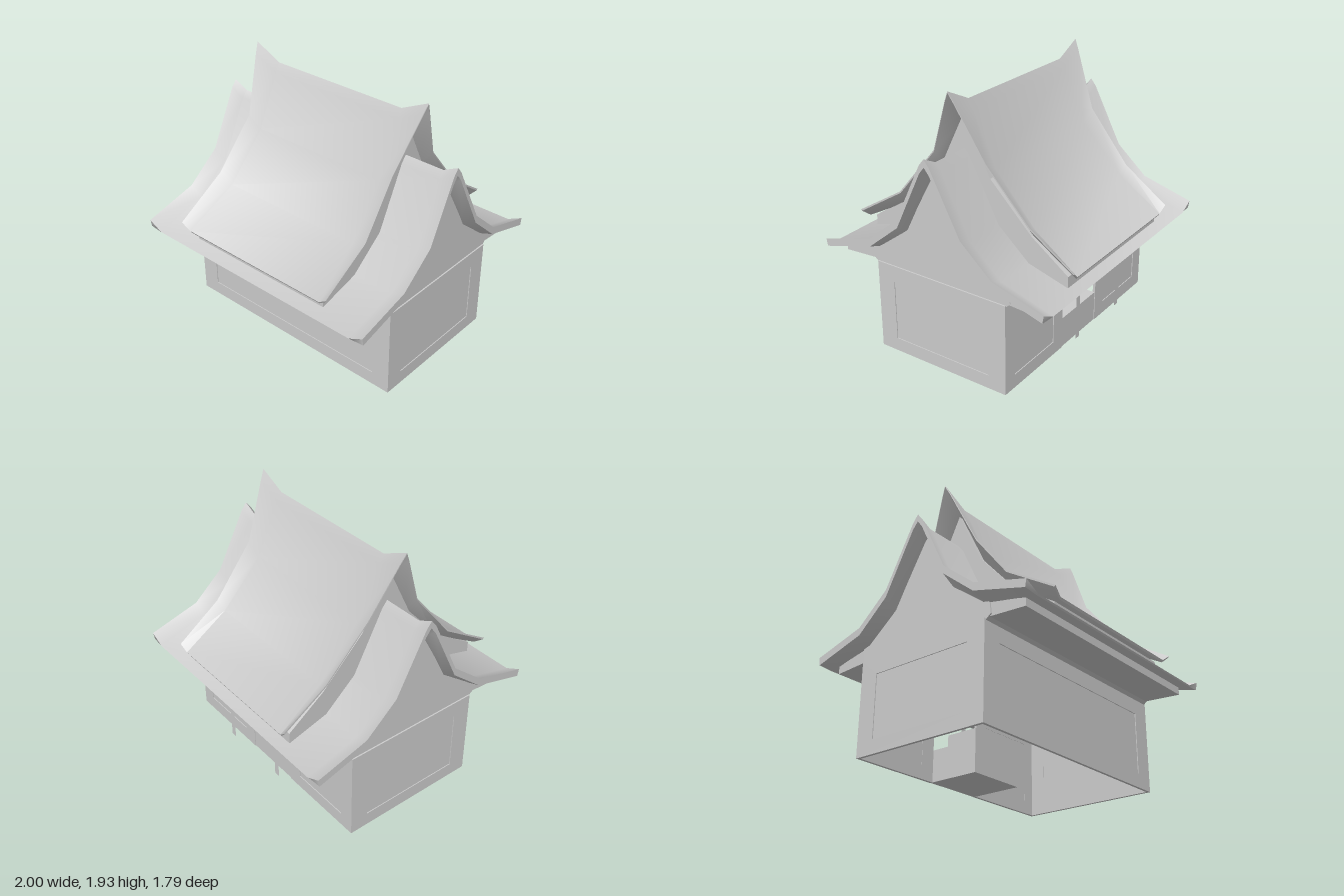
import * as THREE from 'three';
import { toCreasedNormals } from 'three/addons/utils/BufferGeometryUtils.js';

const mat = new THREE.MeshStandardMaterial({ color: 0xcccccc, side: THREE.DoubleSide });

function add(parent, geo, name, x = 0, y = 0, z = 0) {
  const m = new THREE.Mesh(geo, mat);
  m.name = name;
  m.position.set(x, y, z);
  parent.add(m);
  return m;
}

// Roof shell lofted along x. Each section has a top line of [x, y, z] from front
// eave to back eave, and the depth of the shell below each point.
function roofShell(sections) {
  const n = sections[0].top.length;
  const loops = sections.map(({ top, drop }) =>
    [...top, ...top.map(([x, y, z], j) => [x, y - drop[j], z * 0.99]).reverse()]);
  const pos = [];
  const quad = (a, b, c, d) => pos.push(...a, ...b, ...c, ...a, ...c, ...d);
  for (let i = 0; i < loops.length - 1; i++) {
    const p = loops[i], q = loops[i + 1];
    for (let j = 0; j < 2 * n; j++) {
      const k = (j + 1) % (2 * n);
      quad(p[j], q[j], q[k], p[k]);
    }
  }
  // end caps
  const first = loops[0], last = loops[loops.length - 1];
  for (let j = 0; j < n - 1; j++) {
    const a = 2 * n - 1 - j, b = a - 1;
    quad(last[j], last[a], last[b], last[j + 1]);
    quad(first[j], first[j + 1], first[b], first[a]);
  }
  const g = new THREE.BufferGeometry();
  g.setAttribute('position', new THREE.Float32BufferAttribute(pos, 3));
  return toCreasedNormals(g, 0.7);
}

// Solid with a [z, y] outline, running from -halfX to halfX
function extrudeAlongX(points, halfX) {
  const shape = new THREE.Shape(points.map(([z, y]) => new THREE.Vector2(-z, y)));
  const g = new THREE.ExtrudeGeometry(shape, { depth: 2 * halfX, bevelEnabled: false });
  g.translate(0, 0, -halfX);
  g.rotateY(Math.PI / 2);
  return g;
}

function rect(path, halfW, y0, y1) {
  path.moveTo(-halfW, y0);
  path.lineTo(halfW, y0);
  path.lineTo(halfW, y1);
  path.lineTo(-halfW, y1);
  path.closePath();
  return path;
}

// Upright wall facing +z with one shallow sunken panel
function panelWall(width, margin) {
  const thick = 0.02, wall = new THREE.Group();
  const w = width / 2, p = w - margin;
  const frame = rect(new THREE.Shape(), w, 0, 0.67);
  frame.holes.push(rect(new THREE.Path(), p, 0.1, 0.55));
  add(wall, new THREE.ExtrudeGeometry(frame, { depth: thick, bevelEnabled: false }), 'wallFrame', 0, 0, -thick);
  add(wall, new THREE.BoxGeometry(2 * p, 0.45, 0.012), 'wallPanel', 0, 0.325, -0.012);
  return wall;
}

export function createModel() {
  const house = new THREE.Group();
  house.name = 'house';

  // Walls: front, two sides, and two back pieces beside the doorway
  const place = (wall, name, x, z, turn) => {
    wall.name = name;
    wall.position.set(x, 0, z);
    wall.rotation.y = turn;
    house.add(wall);
  };
  place(panelWall(1.82, 0.14), 'frontWall', 0, 0.51, 0);
  place(panelWall(1.06, 0.137), 'leftWall', 0.91, -0.02, Math.PI / 2);
  place(panelWall(1.06, 0.137), 'rightWall', -0.91, -0.02, -Math.PI / 2);
  place(panelWall(0.685, 0.11), 'backWallLeft', 0.5675, -0.55, Math.PI);
  place(panelWall(0.685, 0.11), 'backWallRight', -0.5675, -0.55, Math.PI);

  // Entry steps set into the doorway
  const steps = new THREE.Group();
  steps.name = 'entrySteps';
  add(steps, new THREE.BoxGeometry(0.45, 0.23, 0.4), 'lowerStep', 0, 0.115, -0.345);
  add(steps, new THREE.BoxGeometry(0.45, 0.08, 0.25), 'upperStep', 0, 0.27, -0.27);
  house.add(steps);

  // Flat porch posts with rounded caps under the back eave
  for (const s of [-1, 1]) {
    const post = new THREE.Group();
    post.name = s > 0 ? 'leftPost' : 'rightPost';
    add(post, new THREE.PlaneGeometry(0.045, 0.5), 'postShaft', 0, 0.41, 0).rotation.y = Math.PI;
    add(post, new THREE.CylinderGeometry(0.042, 0.036, 0.05, 16).scale(1, 1, 0.5), 'postCap', 0, 0.655, 0);
    post.position.set(s * 0.27, 0, -0.7);
    house.add(post);
  }

  // Lower roof: level in the middle, top swept up at both ends over a level underside
  const lower = [[0.9, 0.71], [0.495, 0.822], [0.24, 1.03], [0.03, 1.46], [-0.01, 1.51],
    [-0.05, 1.46], [-0.275, 1.03], [-0.51, 0.822], [-0.895, 0.71]];
  const lowerDrop = [0.008, 0.04, 0.06, 0.08, 0.09, 0.08, 0.06, 0.04, 0.008];
  const lowerSections = [[-1, 0.055], [-0.89, 0], [0.89, 0], [1, 0.055]].map(([x, lift]) => ({
    top: lower.map(([z, y]) => [x, y + lift, z]),
    drop: lift ? lower.map(() => 0.055) : lowerDrop,
  }));
  add(house, roofShell(lowerSections), 'lowerRoof');

  // Gable body below the lower roof
  const gable = [[0.51, 0.66], [0.55, 0.69], [0.54, 0.77], [0.25, 0.97], [-0.01, 1.44],
    [-0.28, 0.97], [-0.56, 0.77], [-0.58, 0.69], [-0.55, 0.66]];
  add(house, extrudeAlongX(gable, 0.9), 'gableBody');

  // Boxed soffits along both eaves
  for (const s of [-1, 1]) {
    const soffit = [[0.5, 0.68], [0.81, 0.66], [0.81, 0.715], [0.5, 0.79]];
    add(house, extrudeAlongX(soffit.map(([z, y]) => [z * s, y]), 0.89), s > 0 ? 'frontSoffit' : 'backSoffit');
  }

  // Upper roof: rows of [edge x, edge y, inner x, inner y, z], front eave to back eave
  const upper = [
    [0.675, 0.87, 0.605, 0.82, 0.87], [0.675, 1.105, 0.56, 1.05, 0.49], [0.65, 1.465, 0.54, 1.39, 0.2],
    [0.735, 1.86, 0.54, 1.77, 0.025], [0.75, 1.93, 0.54, 1.83, -0.01], [0.735, 1.86, 0.54, 1.77, -0.045],
    [0.655, 1.465, 0.54, 1.39, -0.225], [0.63, 1.1, 0.55, 1.05, -0.54], [0.62, 0.87, 0.565, 0.82, -0.875]];
  const upperDrop = [0.015, 0.05, 0.07, 0.09, 0.1, 0.09, 0.07, 0.05, 0.015];
  const upperSections = [[-1, true], [-1, false], [1, false], [1, true]].map(([s, edge]) => ({
    top: upper.map(([ex, ey, ix, iy, z]) => (edge ? [s * ex, ey, z] : [s * ix, iy, z * 0.985])),
    drop: edge ? upper.map(() => 0.01) : upperDrop,
  }));
  add(house, roofShell(upperSections), 'upperRoof');

  // Recessed body that carries the upper roof on the lower one
  const core = [[0.8, 0.72], [0.8, 0.815], [0.48, 1.02], [0.19, 1.34], [-0.01, 1.75],
    [-0.21, 1.34], [-0.53, 1.02], [-0.81, 0.815], [-0.81, 0.72], [-0.5, 0.79],
    [-0.27, 1.0], [-0.01, 1.45], [0.23, 1.0], [0.48, 0.79]];
  add(house, extrudeAlongX(core, 0.59), 'upperRoofBody');

  return house;
}
